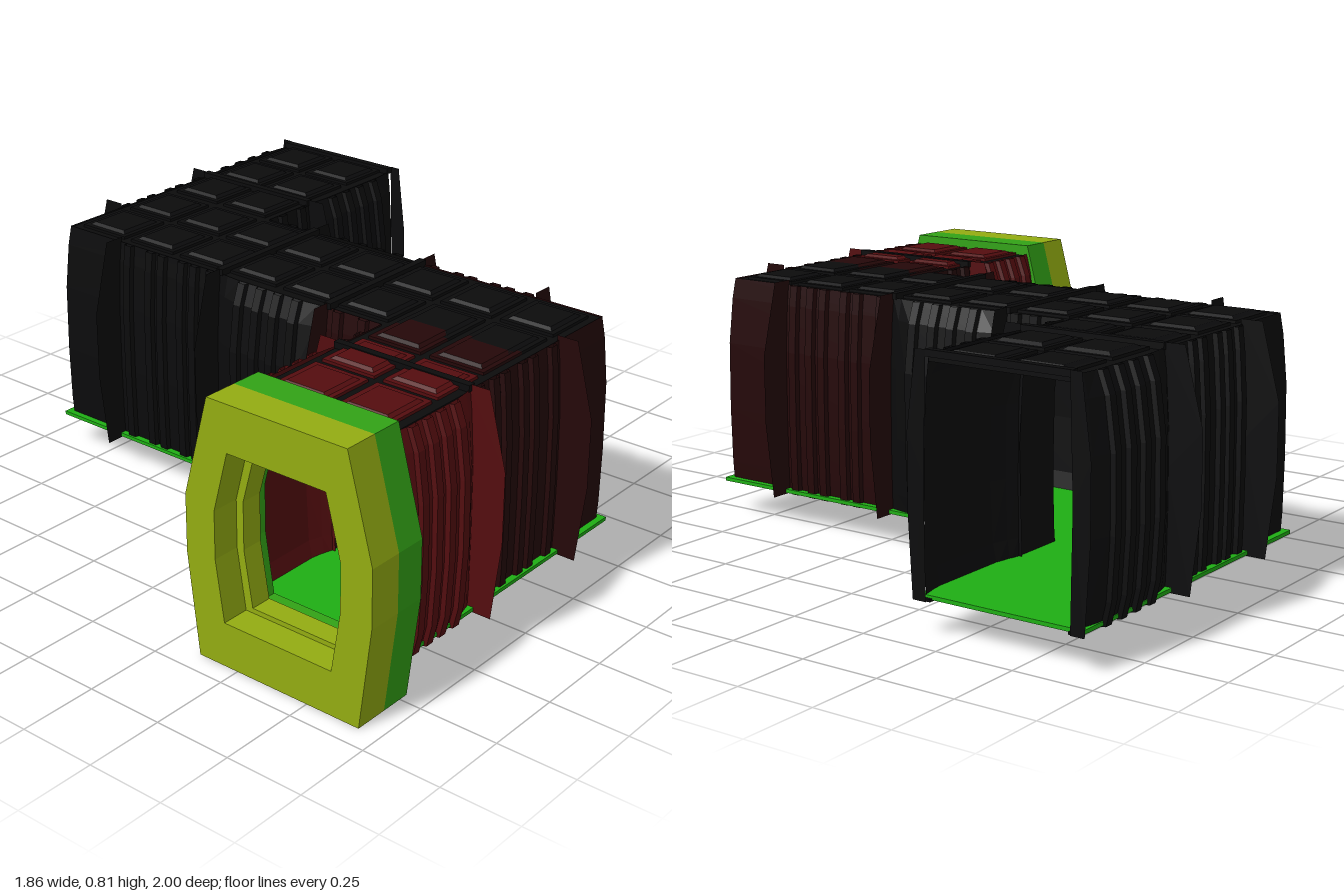
import * as THREE from 'three';

const BLACK = 0x0b0b0c, MAROON = 0x240708, RED = 0x540d0f, GREEN = 0x1fae14;
const paint = (color) => new THREE.MeshStandardMaterial({ color, side: THREE.DoubleSide, flatShading: true });
const mats = {
  black: paint(BLACK), maroon: paint(MAROON), red: paint(RED), green: paint(GREEN),
  frameFront: paint(0x93ac12), frameRear: paint(0x32a216),
};

// Centreline of the Z-shaped corridor: [x, z]
const PATH = [[-0.76, 0.645], [0.04, 0.645], [0.04, -0.645], [0.91, -0.645]];

function add(parent, name, geometry, material, x = 0, y = 0, z = 0) {
  const m = new THREE.Mesh(geometry, material);
  m.name = name;
  m.position.set(x, y, z);
  parent.add(m);
  return m;
}

// Sideways normal of one leg, and the mitred outline of the whole corridor
function legNormal(i) {
  const [a, b] = [PATH[i], PATH[i + 1]];
  const l = Math.hypot(b[0] - a[0], b[1] - a[1]);
  return [-(b[1] - a[1]) / l, (b[0] - a[0]) / l];
}
function offsetPath(w) {
  return PATH.map((p, i) => {
    const n = [0, 0];
    if (i > 0) legNormal(i - 1).forEach((v, k) => (n[k] += v));
    if (i < PATH.length - 1) legNormal(i).forEach((v, k) => (n[k] += v));
    return [p[0] + n[0] * w, p[1] + n[1] * w];
  });
}
function slab(w, y, h) {
  const pts = [...offsetPath(w), ...offsetPath(-w).reverse()];
  const shape = new THREE.Shape(pts.map(([x, z]) => new THREE.Vector2(x, -z)));
  return new THREE.ExtrudeGeometry(shape, { depth: h, bevelEnabled: false })
    .rotateX(-Math.PI / 2).translate(0, y, 0);
}

// Wall cross-section: [height, plain half width, extra width where it bulges]
const PROFILE = [[0.1, 0.245, 0.015], [0.17, 0.248, 0.028], [0.35, 0.25, 0.036],
  [0.57, 0.248, 0.036], [0.72, 0.238, 0.026], [0.785, 0.23, 0.01]];

// Lofts a wall through stations {x, z, nx, nz, b}
function wallLoft(stations, extra = 0) {
  const pos = [], idx = [], n = PROFILE.length;
  for (const s of stations) for (const [y, w, bulge] of PROFILE) {
    const o = w + bulge * s.b + extra;
    pos.push(s.x + s.nx * o, y, s.z + s.nz * o);
  }
  for (let i = 0; i < stations.length - 1; i++) for (let j = 0; j < n - 1; j++) {
    const a = i * n + j, b = a + n;
    idx.push(a, b, a + 1, b, b + 1, a + 1);
  }
  const g = new THREE.BufferGeometry();
  g.setAttribute('position', new THREE.Float32BufferAttribute(pos, 3));
  g.setIndex(idx);
  g.computeVertexNormals();
  return g;
}

// Wall stretches on leg 0 and 2 (along x) or leg 1 (along z): leg, from, to, colour, bulging
const STRETCHES = [
  [0, -0.76, -0.39, 'red', true], [0, -0.39, 0.04, 'maroon', false],
  [1, 0.645, 0.215, 'maroon', false], [1, 0.215, -0.215, 'black', true], [1, -0.215, -0.645, 'black', false],
  [2, 0.04, 0.47, 'black', false], [2, 0.47, 0.91, 'black', true],
];

function station(leg, u, side, b) {
  const n = legNormal(leg), c = PATH[leg];
  const s = { x: leg === 1 ? c[0] : u, z: leg === 1 ? u : c[1], nx: n[0] * side, nz: n[1] * side, b };
  // mitre where two legs meet
  for (const k of [leg, leg + 1]) {
    if (k === 0 || k === 3) continue;
    if (Math.abs(PATH[k][0] - s.x) + Math.abs(PATH[k][1] - s.z) < 1e-6) {
      const m = legNormal(k === leg ? leg - 1 : leg + 1);
      s.nx += m[0] * side;
      s.nz += m[1] * side;
    }
  }
  return s;
}

function buildWalls(group) {
  for (const [leg, from, to, color, bulging] of STRETCHES) for (const side of [1, -1]) {
    const at = (t, b) => station(leg, from + (to - from) * t, side, b);
    const stops = bulging ? [[0, 0], [0.08, 0.5], [0.2, 1], [0.8, 1], [0.92, 0.5], [1, 0]] : [[0, 0], [1, 0]];
    add(group, 'wall', wallLoft(stops.map(([t, b]) => at(t, b))), mats[color]);
    // vertical ribs standing off the wall, kept clear of inner corners
    const cornerAt = [0, 1].map((t) => Math.abs(at(t, 0).nx) + Math.abs(at(t, 0).nz) > 1.5);
    const len = Math.abs(to - from), inner = (leg === 0 ? -1 : leg === 2 ? 1 : from > 0 ? 1 : -1);
    const inside = side === ((leg === 1 && from > 0) || leg === 0 ? -1 : 1) && !bulging && inner;
    const ribs = bulging ? [0.25, 0.42, 0.58, 0.75] : [0.08, 0.24, 0.36, 0.56, 0.68, 0.9];
    for (const t of ribs) {
      const near = cornerAt[0] ? t : cornerAt[1] ? 1 - t : 1;
      if (inside && near * len < 0.28) continue;
      const h = 0.014 / len, b = bulging ? 1 : 0;
      const edge = (k, e) => wallStationOffset(at(t + k * h, b), e);
      add(group, 'wallRib', wallLoft([edge(-1.3, 0), edge(-1, 0.014), edge(1, 0.014), edge(1.3, 0)]), mats[color]);
    }
  }
}
// Pushes a station outward
function wallStationOffset(s, e) {
  return { ...s, x: s.x + s.nx * e, z: s.z + s.nz * e };
}

// Thin flange that stands out from one side of the corridor
const FLANGE = [[0.235, 0.1], [0.245, 0.45], [0.225, 0.77], [0.225, 0.8], [0.295, 0.8],
  [0.355, 0.57], [0.355, 0.35], [0.325, 0.1]];
function flange(group, x, z, angle, color, scale = 1) {
  const pts = FLANGE.map(([w, y]) => new THREE.Vector2(0.235 + (w - 0.235) * scale, y));
  const m = add(group, 'flange', new THREE.ShapeGeometry(new THREE.Shape(pts)), mats[color], x, 0, z);
  m.rotation.y = angle;
}

function buildFlanges(group) {
  const H = Math.PI / 2;
  for (const a of [0, Math.PI]) {
    flange(group, 0.04, 0.215, a, 'maroon');
    flange(group, 0.04, -0.215, a, 'black');
    flange(group, -0.39, 0.645, a + H, 'red');
    flange(group, 0.47, -0.645, a + H, 'black');
    flange(group, 0.925, -0.645, a + H, 'black', 0.5);
  }
  // outer sides of the two corners
  flange(group, 0.04, 0.645, 0, 'maroon');
  flange(group, 0.04, 0.645, -H, 'maroon');
  flange(group, 0.04, -0.645, Math.PI, 'black');
  flange(group, 0.04, -0.645, H, 'black');
}

// Roof plate with two rows of raised panels on each leg
function buildRoof(group) {
  add(group, 'roof', slab(0.23, 0.765, 0.015), mats.black);
  const panel = (x, z, color) => {
    add(group, 'roofPanel', new THREE.BoxGeometry(0.185, 0.01, 0.185), mats[color], x, 0.784, z);
    const top = new THREE.CylinderGeometry(0.092, 0.108, 0.008, 4, 1).rotateY(Math.PI / 4);
    add(group, 'roofPanelTop', top, mats[color], x, 0.793, z);
  };
  for (const s of [-1, 1]) {
    for (let i = 0; i < 8; i++) panel(0.04 + s * 0.108, 0.753 - i * 0.215, 'black');
    for (let i = 0; i < 3; i++) {
      panel(-0.615 + i * 0.21, 0.645 + s * 0.108, i < 2 ? 'red' : 'maroon');
      panel(0.375 + i * 0.215, -0.645 + s * 0.108, 'black');
    }
  }
  // roof beams at the section joints
  for (const z of [0.215, -0.215]) add(group, 'roofBeam', new THREE.BoxGeometry(0.47, 0.02, 0.025), mats.black, 0.04, 0.79, z);
  for (const [x, z] of [[-0.39, 0.645], [0.47, -0.645], [0.91, -0.645]])
    add(group, 'roofBeam', new THREE.BoxGeometry(0.025, 0.02, 0.47), mats.black, x, 0.79, z);
}

// Floor plate with dark edging strips underneath
function buildFloor(group) {
  add(group, 'floor', slab(0.267, 0.104, 0.012), mats.green);
  for (const w of [0.235, -0.235]) {
    const pts = offsetPath(w);
    for (let i = 0; i < 3; i++) {
      const [a, b] = [pts[i], pts[i + 1]];
      const dx = Math.abs(b[0] - a[0]), dz = Math.abs(b[1] - a[1]);
      add(group, 'floorTrim', new THREE.BoxGeometry(dx + 0.02, 0.008, dz + 0.02), mats.black,
        (a[0] + b[0]) / 2, 0.104, (a[1] + b[1]) / 2);
    }
  }
}

// Six-sided doorway ring: half widths and heights of the outline
const ring = (list) => [...list.map(([w, y]) => new THREE.Vector2(w, y)),
  ...list.slice().reverse().map(([w, y]) => new THREE.Vector2(-w, y))];
function doorRing(outer, hole, depth) {
  const s = new THREE.Shape(ring(outer));
  s.holes.push(new THREE.Path(ring(hole)));
  return new THREE.ExtrudeGeometry(s, { depth, bevelEnabled: false }).rotateY(-Math.PI / 2);
}
function buildDoorway(group) {
  const outer = [[0.285, 0], [0.325, 0.32], [0.325, 0.5], [0.24, 0.815]];
  const hole = [[0.19, 0.14], [0.22, 0.33], [0.22, 0.48], [0.17, 0.67]];
  const step = [[0.165, 0.155], [0.195, 0.33], [0.195, 0.48], [0.15, 0.645]];
  add(group, 'doorFrameRear', doorRing(outer, hole, 0.1), mats.frameRear, -0.72, 0, 0.645);
  add(group, 'doorFrameFront', doorRing(outer, hole, 0.11), mats.frameFront, -0.82, 0, 0.645);
  add(group, 'doorInnerStep', doorRing(hole, step, 0.07), mats.frameFront, -0.77, 0, 0.645);
}

export function createModel() {
  const model = new THREE.Group();
  model.name = 'corridor';
  const parts = { walls: buildWalls, flanges: buildFlanges, roof: buildRoof, floor: buildFloor, doorway: buildDoorway };
  for (const [name, build] of Object.entries(parts)) {
    const g = new THREE.Group();
    g.name = name;
    build(g);
    model.add(g);
  }
  return model;
}
